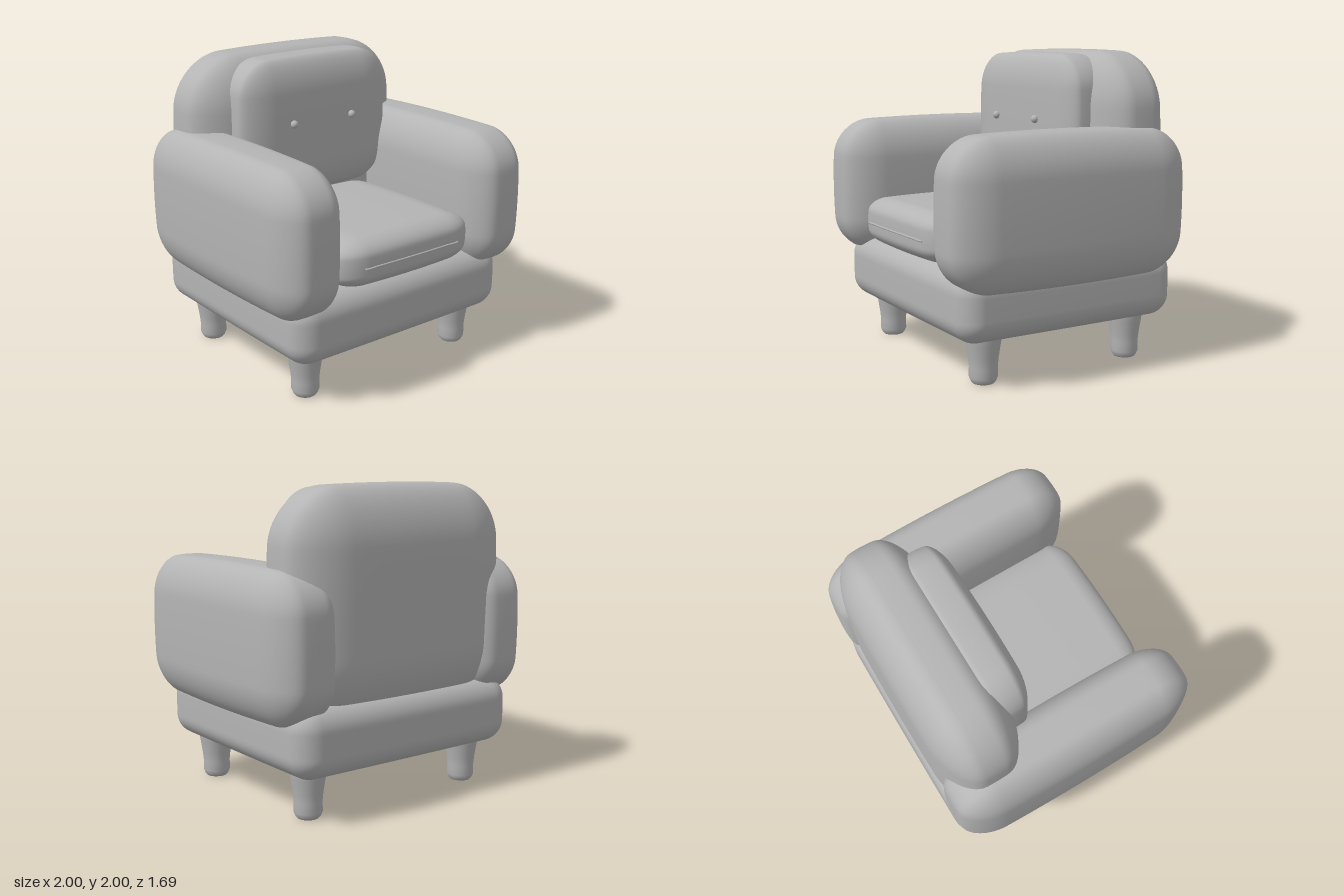
import * as THREE from 'three';
import { mergeVertices } from 'three/addons/utils/BufferGeometryUtils.js';

const AXES = ['x', 'y', 'z'];

// Upholstered block: half sizes h, corner radii r, and how far each axis shrinks towards its corners (puff)
function cushionGeometry(h, r, puff) {
  const geometry = new THREE.BoxGeometry(2, 2, 2, 28, 28, 28);
  geometry.deleteAttribute('uv');
  geometry.deleteAttribute('normal');
  const position = geometry.attributes.position;
  const p = new THREE.Vector3();
  for (let i = 0; i < position.count; i++) {
    p.fromBufferAttribute(position, i);
    const core = [], corner = new THREE.Vector3();
    AXES.forEach((axis, k) => {
      const u = Math.abs(p[axis]), s = Math.sign(p[axis]), flat = h[k] - r[k];
      core[k] = s * flat * Math.min(u * 2, 1);
      corner[axis] = u > 0.5 ? s * Math.tan((u - 0.5) * Math.PI / 2) : 0;
    });
    corner.normalize();
    const q = AXES.map((axis, k) => core[k] + corner[axis] * r[k]);
    const sq = q.map((v, k) => (v / h[k]) ** 2);
    const sum = sq[0] + sq[1] + sq[2];
    position.setXYZ(i, ...q.map((v, k) => v * (1 - puff[k] * (sum - sq[k]) / 2)));
  }
  const merged = mergeVertices(geometry, 1e-5);
  merged.computeVertexNormals();
  return merged;
}

export function createModel() {
  const model = new THREE.Group();
  model.name = 'armchair';
  const grey = new THREE.MeshStandardMaterial({ color: 0xb4b4b4 });
  grey.name = 'grey';

  function add(name, geometry, x, y, z) {
    const mesh = new THREE.Mesh(geometry, grey);
    mesh.name = name;
    mesh.position.set(x, y, z);
    model.add(mesh);
    return mesh;
  }

  // Base, seat, backrest and back pillow
  add('base', cushionGeometry([0.857, 0.22, 0.79], [0.15, 0.14, 0.14], [0.01, 0, 0.01]), 0, 0.5, -0.04);
  add('seatCushion', cushionGeometry([0.56, 0.167, 0.59], [0.2, 0.1, 0.13], [0.06, 0.12, 0.05]), 0, 0.865, 0.2);
  add('backrest', cushionGeometry([0.842, 0.7, 0.28], [0.35, 0.35, 0.2], [0.08, 0.07, 0.1]), 0, 1.3, -0.55);
  add('backPillow', cushionGeometry([0.608, 0.47, 0.18], [0.22, 0.22, 0.1], [0.08, 0.07, 0.14]), 0, 1.51, -0.305);

  // Seam across the front of the seat, with its ends sunk into the cushion
  const seam = [[-0.39, 0.74]];
  for (let i = -4; i <= 4; i++) {
    const x = i * 0.095;
    seam.push([x, 0.2 + 0.59 * (1 - 0.025 * (x / 0.56) ** 2)]);
  }
  seam.push([0.39, 0.74]);
  const seamPath = new THREE.CatmullRomCurve3(seam.map(([x, z]) => new THREE.Vector3(x, 0, z)));
  add('seatSeam', new THREE.TubeGeometry(seamPath, 60, 0.007, 8), 0, 0.857, 0);

  // Leg profile from the foot up
  const legGeometry = new THREE.LatheGeometry(
    [[0, 0], [0.068, 0], [0.078, 0.012], [0.09, 0.04], [0.088, 0.1], [0.094, 0.16], [0.108, 0.25], [0.116, 0.3], [0.116, 0.36]]
      .map(([x, y]) => new THREE.Vector2(x, y)), 24);
  const armGeometry = cushionGeometry([0.245, 0.474, 0.845], [0.16, 0.25, 0.25], [0.13, 0.08, 0.05]);
  const buttonGeometry = new THREE.SphereGeometry(0.026, 16, 12);

  // Mirrored pairs
  for (const side of [-1, 1]) {
    const label = side > 0 ? 'left' : 'right';
    add(label + 'Arm', armGeometry, side * 0.755, 1.054, 0);
    add(label + 'Button', buttonGeometry, side * 0.24, 1.55, -0.12);
    add(label + 'FrontLeg', legGeometry, side * 0.635, 0, 0.5);
    add(label + 'BackLeg', legGeometry, side * 0.635, 0, -0.575);
  }
  return model;
}
